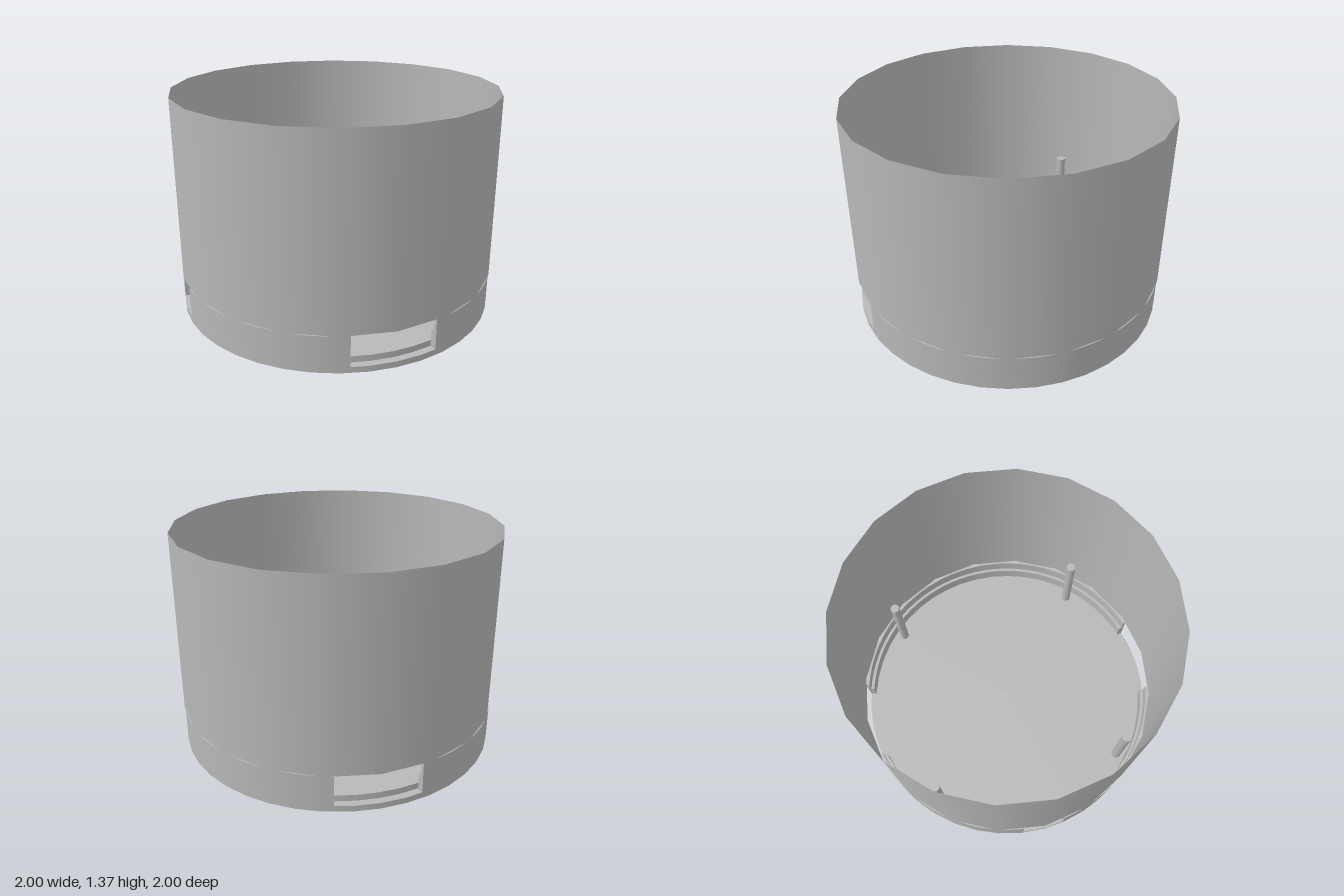
import * as THREE from 'three';
import { toCreasedNormals } from 'three/addons/utils/BufferGeometryUtils.js';

export function createModel() {
  const model = new THREE.Group();
  const grey = new THREE.MeshStandardMaterial({ color: 0xb8b8b8, side: THREE.DoubleSide });
  grey.name = 'plain grey';

  const FLOOR = 0.037, SEAM = 0.23, HEIGHT = 1.365, R = 0.995;

  function add(name, geometry, x = 0, y = 0, z = 0) {
    const mesh = new THREE.Mesh(geometry, grey);
    mesh.name = name;
    mesh.position.set(x, y, z);
    model.add(mesh);
    return mesh;
  }

  // Flat outline raised into a slab standing on y = 0
  function slab(shape, depth) {
    const g = new THREE.ExtrudeGeometry(shape, { depth, bevelEnabled: false, curveSegments: 20 });
    g.rotateX(-Math.PI / 2);
    return toCreasedNormals(g, 0.6);
  }

  function ringSector(inner, outer, a, b) {
    const shape = new THREE.Shape();
    shape.absarc(0, 0, outer, a, b, false);
    shape.absarc(0, 0, inner, b, a, true);
    shape.closePath();
    return shape;
  }

  // Bottom plate with screw recesses and smaller blind holes on the diagonals
  const corners = [[1, 1], [1, -1], [-1, 1], [-1, -1]];
  const plate = new THREE.Shape();
  plate.absarc(0, 0, R, 0, Math.PI * 2, false);
  for (const [sx, sz] of corners) {
    for (const [d, r] of [[0.63, 0.09], [0.475, 0.042]]) {
      const hole = new THREE.Path();
      hole.absarc(sx * d, sz * d, r, 0, Math.PI * 2, true);
      plate.holes.push(hole);
    }
  }
  add('bottomPlate', slab(plate, FLOOR));

  // Raised inner floor
  add('innerFloor', new THREE.CylinderGeometry(0.95, 0.95, 0.038, 48), 0, FLOOR + 0.019, 0);

  // Countersinks below, slim pegs above
  for (const [sx, sz] of corners) {
    add('countersink', new THREE.CylinderGeometry(0.055, 0.09, FLOOR, 24, 1, true), sx * 0.63, FLOOR / 2, sz * 0.63);
    add('peg', new THREE.CylinderGeometry(0.03, 0.03, 0.5, 20), sx * 0.63, 0.305, sz * 0.63);
  }

  // Base wall, broken by front and back windows and a narrow side window
  const wide = Math.asin(0.256), narrow = Math.asin(0.142), q = Math.PI / 2;
  const sectors = [
    [-q + wide, q - wide],
    [q + wide, 2 * q - narrow],
    [2 * q + narrow, 3 * q - wide],
  ];
  for (const [a, b] of sectors) {
    add('baseWall', slab(ringSector(0.955, R, a, b), 0.15 - FLOOR), 0, FLOOR, 0);
    add('baseWallUpper', slab(ringSector(0.975, R, a, b), SEAM - 0.15), 0, 0.15, 0);
  }

  // Thin open shell with few sides
  add('shell', new THREE.LatheGeometry([new THREE.Vector2(1, SEAM), new THREE.Vector2(1, HEIGHT)], 20));

  return model;
}
